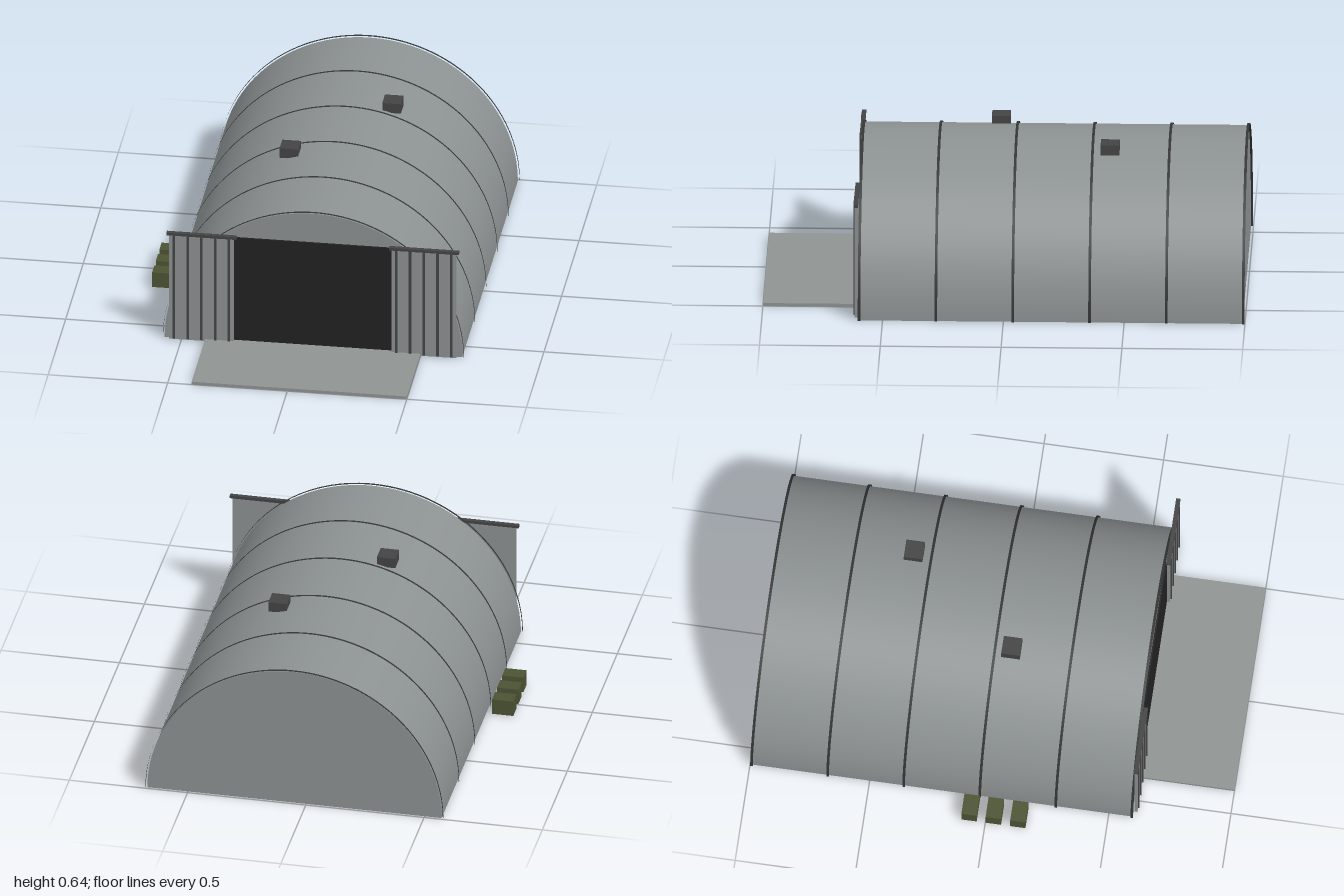
import * as THREE from 'three';

const CX = 0.05;           // hangar centre line
const R = 0.622;           // arch radius
const BACK = -0.99, FRONT = 0.596;

const mat = (name, color, side = THREE.FrontSide) => {
  const m = new THREE.MeshStandardMaterial({ color, side });
  m.name = name;
  return m;
};

export function createModel() {
  const sheet = mat('grey sheet metal', 0x8c9191, THREE.DoubleSide);
  const concrete = mat('pale concrete', 0x8f9392);
  const steel = mat('dark steel', 0x444444);
  const ribSteel = mat('rib steel', 0x333635, THREE.DoubleSide);
  const opening = mat('black opening', 0x222222);
  const olive = mat('olive crate', 0x4b5320);
  olive.color.set(0x4c5334);
  const plane = mat('light aircraft paint', 0xc8c8c2);

  const model = new THREE.Group();
  model.name = 'hangar';

  const add = (name, geo, material, x, y, z, parent = model) => {
    const mesh = new THREE.Mesh(geo, material);
    mesh.name = name;
    mesh.position.set(x, y, z);
    parent.add(mesh);
    return mesh;
  };
  // box given by its limits on each axis
  const box = (name, material, [x0, x1], [y0, y1], [z0, z1], parent) =>
    add(name, new THREE.BoxGeometry(x1 - x0, y1 - y0, z1 - z0), material,
      (x0 + x1) / 2, (y0 + y1) / 2, (z0 + z1) / 2, parent);
  // upper half of an open cylinder lying along z
  const arch = (radius, length) =>
    new THREE.CylinderGeometry(radius, radius, length, 64, 1, true, Math.PI / 2, Math.PI)
      .rotateX(Math.PI / 2);

  // Vaulted roof and end walls
  add('roofShell', arch(R, FRONT - BACK), sheet, CX, 0, (FRONT + BACK) / 2);
  add('frontWall', new THREE.CircleGeometry(R, 64, 0, Math.PI), sheet, CX, 0, FRONT);
  add('backWall', new THREE.CircleGeometry(R, 64, 0, Math.PI).rotateY(Math.PI), sheet, CX, 0, BACK);

  // Thin hoops over the roof
  for (let i = 0; i < 6; i++) {
    add('roofRib', arch(R + 0.007, 0.011), ribSteel, CX, 0, -0.993 + i * 0.318);
  }

  // Door opening and apron
  box('doorOpening', opening, [CX - 0.33, CX + 0.33], [0.005, 0.49], [0.597, 0.604]);
  box('apron', concrete, [CX - 0.45, CX + 0.45], [0, 0.013], [0.6, 1]);

  // Sliding doors with ribs and top rails
  for (const side of [-1, 1]) {
    const door = new THREE.Group();
    door.name = side < 0 ? 'rightDoor' : 'leftDoor';
    model.add(door);
    const c = CX + side * 0.465;
    box('doorPanel', sheet, [c - 0.135, c + 0.135], [0.004, 0.49], [0.604, 0.616], door);
    box('doorRail', steel, [c - 0.146, c + 0.146], [0.488, 0.5], [0.602, 0.62], door);
    for (let i = -2; i <= 2; i++) {
      const x = c + i * 0.0575;
      box('doorRib', steel, [x - 0.005, x + 0.005], [0.01, 0.488], [0.614, 0.622], door);
    }
  }

  // Roof vents
  for (const [x, z] of [[-0.13, 0.03], [0.232, -0.43]]) {
    box('roofVent', steel, [x - 0.039, x + 0.039], [0.594, 0.638], [z - 0.039, z + 0.039]);
  }

  // Crates beside the wall
  for (let i = 0; i < 3; i++) {
    const z = -0.068 + i * 0.102;
    box('crate', olive, [-0.687, -0.597], [0.002, 0.07], [z - 0.032, z + 0.032]);
  }

  // Simple parked aircraft inside
  const craft = new THREE.Group();
  craft.name = 'parkedAircraft';
  model.add(craft);
  box('fuselage', plane, [CX - 0.02, CX + 0.02], [0.08, 0.12], [0.15, 0.45], craft);
  box('wing', plane, [CX - 0.27, CX + 0.27], [0.097, 0.105], [0.26, 0.32], craft);
  box('tailFin', plane, [CX - 0.005, CX + 0.005], [0.12, 0.16], [0.15, 0.19], craft);

  return model;
}
